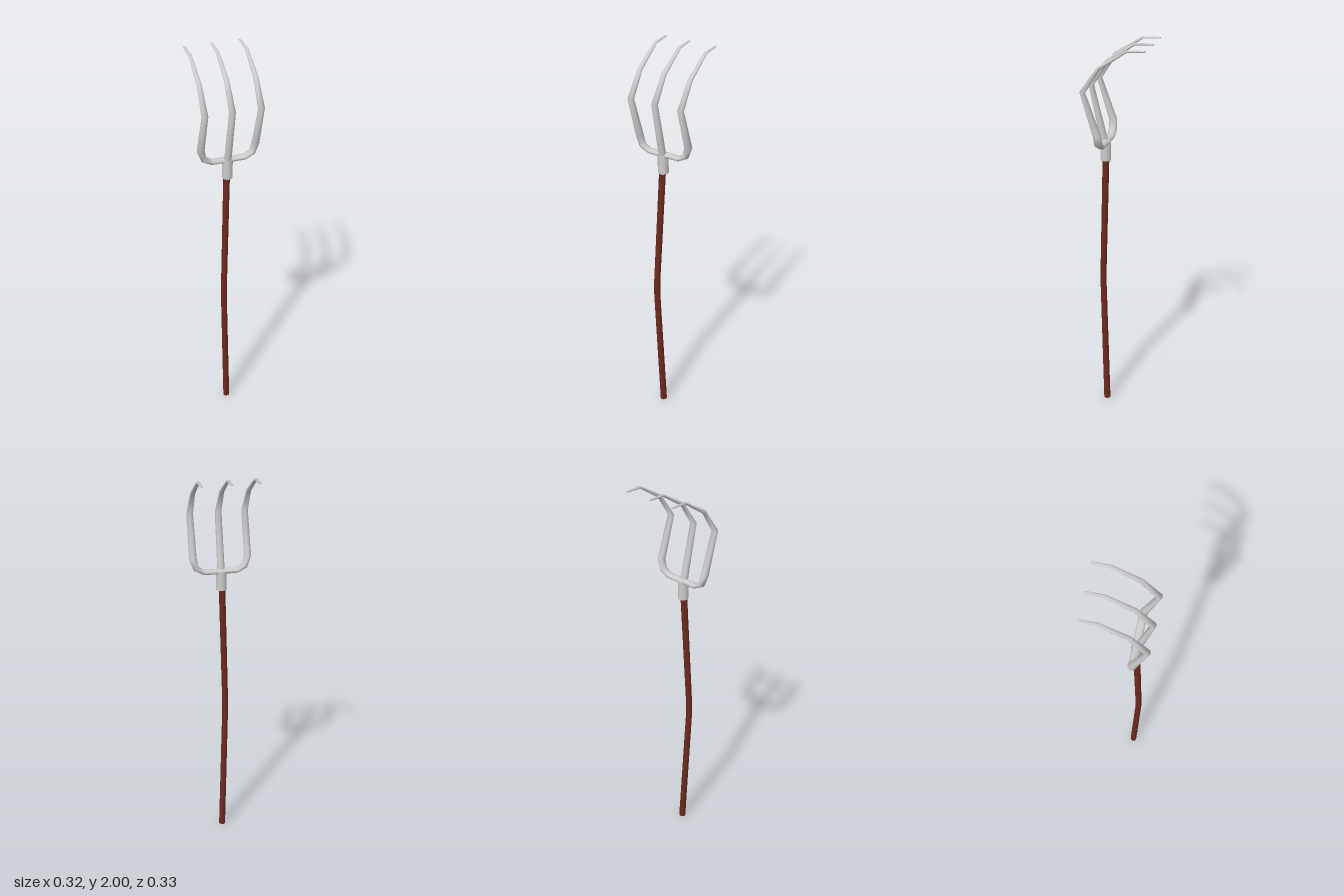
import * as THREE from 'three';

// Sweeps an elliptical ring along [x, y, z, acrossRadius, depthRadius] stations, with capped ends.
function sweep(stations, sides, depthAxis) {
  const points = stations.map(s => new THREE.Vector3(s[0], s[1], s[2]));
  const pos = [], index = [], n = points.length;
  const v = depthAxis.clone();
  points.forEach((p, i) => {
    const t = new THREE.Vector3();
    if (i > 0) t.add(p.clone().sub(points[i - 1]).normalize());
    if (i < n - 1) t.add(points[i + 1].clone().sub(p).normalize());
    t.normalize();
    v.addScaledVector(t, -v.dot(t)).normalize();
    const u = v.clone().cross(t);
    for (let k = 0; k < sides; k++) {
      const a = k / sides * Math.PI * 2;
      const q = p.clone().addScaledVector(u, Math.cos(a) * stations[i][3])
        .addScaledVector(v, Math.sin(a) * stations[i][4]);
      pos.push(q.x, q.y, q.z);
    }
  });
  for (let i = 0; i < n - 1; i++) {
    for (let k = 0; k < sides; k++) {
      const a = i * sides + k, b = i * sides + (k + 1) % sides;
      index.push(a, b, b + sides, a, b + sides, a + sides);
    }
  }
  // End caps have their own vertices so the rims stay sharp
  for (const end of [0, n - 1]) {
    const base = pos.length / 3;
    for (let k = 0; k < sides * 3; k++) pos.push(pos[end * sides * 3 + k]);
    for (let k = 1; k < sides - 1; k++) {
      if (end === 0) index.push(base, base + k + 1, base + k);
      else index.push(base, base + k, base + k + 1);
    }
  }
  const g = new THREE.BufferGeometry();
  g.setAttribute('position', new THREE.Float32BufferAttribute(pos, 3));
  g.setIndex(index);
  g.computeVertexNormals();
  return g;
}

export function createModel() {
  const group = new THREE.Group();
  const metal = new THREE.MeshStandardMaterial({ color: 0xcccccc });
  const wood = new THREE.MeshStandardMaterial({ color: 0x6b2a1e });
  const zAxis = new THREE.Vector3(0, 0, 1);
  const cx = -0.005, cz = 0.074;

  function add(name, geometry, material) {
    const mesh = new THREE.Mesh(geometry, material);
    mesh.name = name;
    group.add(mesh);
    return mesh;
  }

  // Crooked wooden handle
  add('handle', sweep([
    [cx - 0.003, 0, cz, 0.017, 0.017],
    [-0.03, 0.68, 0.098, 0.016, 0.016],
    [-0.03, 0.76, 0.098, 0.016, 0.016],
    [cx - 0.003, 1.42, cz, 0.017, 0.017],
  ], 10, zAxis), wood);

  // Metal socket joining the handle to the tines
  add('socket', new THREE.CylinderGeometry(0.027, 0.027, 0.1, 12), metal)
    .position.set(cx, 1.44, cz);

  // Hooked upper part shared by every tine
  const hook = x => [
    [x, 1.775, 0.147, 0.017, 0.014],
    [x, 1.9, 0.064, 0.0125, 0.01],
    [x, 1.991, -0.074, 0.009, 0.006],
    [x, 1.996, -0.165, 0.006, 0.004],
  ];

  add('middleTine', sweep([[cx, 1.46, cz, 0.019, 0.019], ...hook(cx)], 10, zAxis), metal);

  // Outer tines curve out of the socket, then rise
  for (const [name, x] of [['leftTine', 0.139], ['rightTine', -0.14]]) {
    const s = Math.sign(x);
    add(name, sweep([
      [cx, 1.488, 0.072, 0.013, 0.021],
      [x - s * 0.055, 1.488, 0.072, 0.013, 0.021],
      [x - s * 0.016, 1.51, 0.073, 0.016, 0.021],
      [x, 1.56, 0.075, 0.019, 0.02],
      ...hook(x),
    ], 10, zAxis), metal);
  }
  return group;
}
